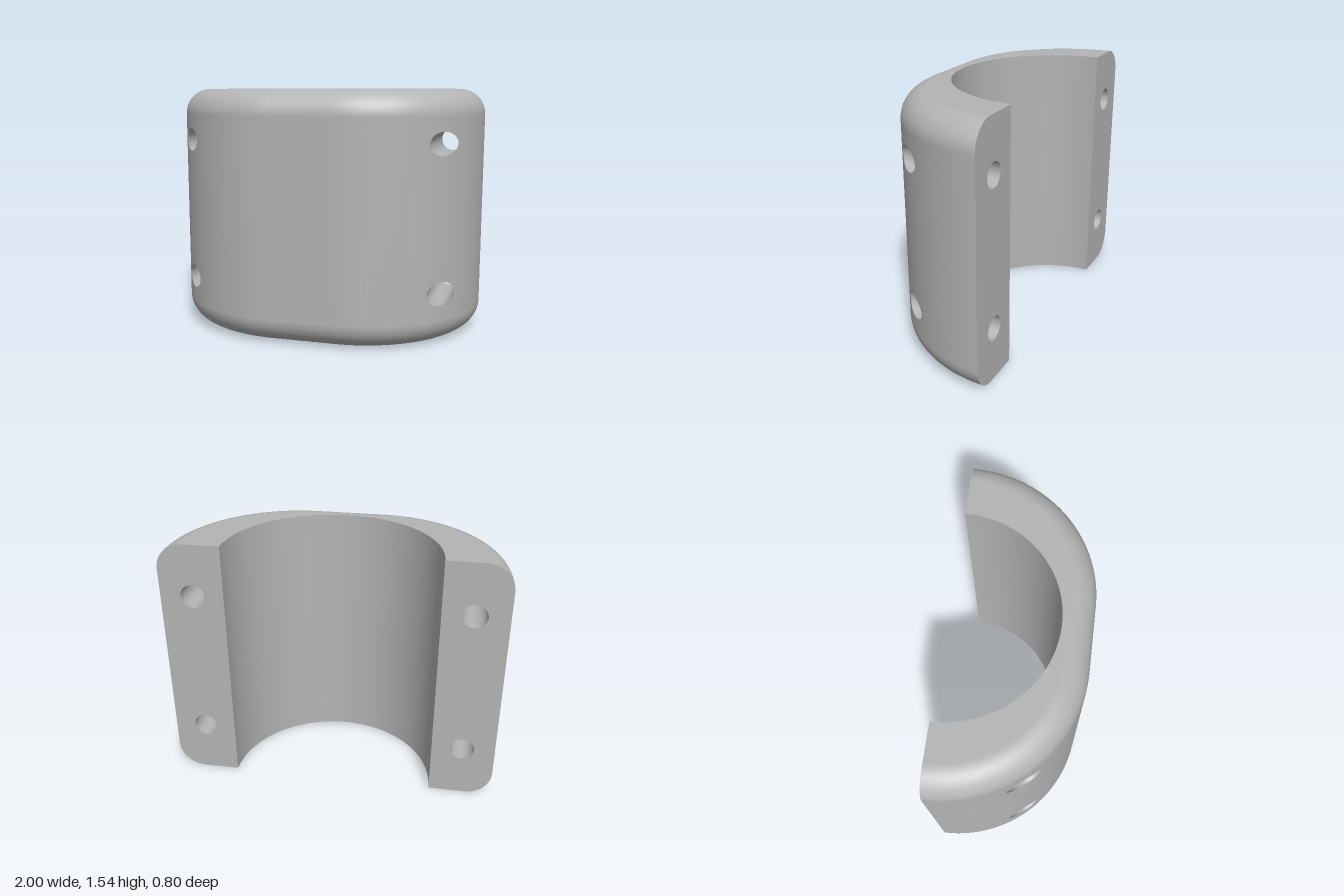
import * as THREE from 'three';
import { mergeGeometries } from 'three/addons/utils/BufferGeometryUtils.js';

const H = 1.545, BACK = -0.4;        // height, z of the mating faces
const R = 0.8, FLAT = 0.2;           // outer corner radius, half width of the flat front
const BORE = 0.62, FILLET = 0.16;
const HX = 0.805, HR = 0.072, HOLES = [0.325, 1.225]; // bolt holes
const rad = THREE.MathUtils.degToRad;
const mix = THREE.MathUtils.lerp;

// Grid surface from fn(u, v) -> [x, y, z]
function sheet(nu, nv, fn, flip = false) {
  const pos = [], index = [];
  for (let i = 0; i <= nu; i++) for (let j = 0; j <= nv; j++) pos.push(...fn(i / nu, j / nv));
  for (let i = 0; i < nu; i++) for (let j = 0; j < nv; j++) {
    const a = i * (nv + 1) + j, b = a + nv + 1;
    if (flip) index.push(a, a + 1, b, b, a + 1, b + 1);
    else index.push(a, b, a + 1, b, b + 1, a + 1);
  }
  const g = new THREE.BufferGeometry();
  g.setAttribute('position', new THREE.Float32BufferAttribute(pos, 3));
  g.setIndex(index);
  g.computeVertexNormals();
  return g;
}

// Point on the outer profile, moved inwards by d
const outer = (s, a, y, d = 0) =>
  [s * (FLAT + (R - d) * Math.cos(a)), y, BACK + (R - d) * Math.sin(a)];

// Exact normals of the rounded skin
function roundNormals(g) {
  const p = g.attributes.position, n = g.attributes.normal, v = new THREE.Vector3();
  for (let i = 0; i < p.count; i++) {
    const x = p.getX(i), y = p.getY(i), w = p.getZ(i) - BACK;
    const dx = x - THREE.MathUtils.clamp(x, -FLAT, FLAT);
    const k = 1 - (R - FILLET) / Math.hypot(dx, w);
    v.set(dx * k, y - THREE.MathUtils.clamp(y, FILLET, H - FILLET), w * k);
    if (v.length() > 1e-4) { v.normalize(); n.setXYZ(i, v.x, v.y, v.z); }
  }
  return g;
}

// Wall patch with a round hole: rings from the hole rim out to a rectangle
function holePatch(s, cy, a0, a1, y0, y1) {
  const n = 12;
  const corners = [[a0, y0], [a1, y0], [a1, y1], [a0, y1], [a0, y0]];
  const midA = Math.acos((HX - FLAT) / R);
  return sheet(n * 4, 6, (u, v) => {
    const k = Math.min(3, Math.floor(u * 4 + 1e-9)), f = u * 4 - k;
    const ea = mix(corners[k][0], corners[k + 1][0], f);
    const ey = mix(corners[k][1], corners[k + 1][1], f);
    const t = Math.atan2(ey - cy, (midA - ea) * R);
    const ra = Math.acos((HX + HR * Math.cos(t) - FLAT) / R);
    return outer(s, mix(ra, ea, v), mix(cy + HR * Math.sin(t), ey, v));
  }, s < 0);
}

function outerSkin() {
  const parts = [], A0 = rad(26), A1 = rad(54), M = 0.13;
  const fillet = (v, top) => {
    const p = v * Math.PI / 2, y = FILLET * (1 - Math.cos(p));
    return [top ? H - y : y, FILLET * (1 - Math.sin(p))];
  };
  for (const s of [1, -1]) {
    const wall = (a0, a1, y0, y1) => parts.push(
      sheet(12, 1, (u, v) => outer(s, mix(a0, a1, u), mix(y0, y1, v)), s > 0));
    wall(0, A0, FILLET, H - FILLET);
    wall(A1, Math.PI / 2, FILLET, H - FILLET);
    wall(A0, A1, FILLET, HOLES[0] - M);
    wall(A0, A1, HOLES[0] + M, HOLES[1] - M);
    wall(A0, A1, HOLES[1] + M, H - FILLET);
    for (const cy of HOLES) parts.push(holePatch(s, cy, A0, A1, cy - M, cy + M));
    for (const [a0, a1] of [[0, A0], [A0, A1], [A1, Math.PI / 2]]) {
      for (const top of [false, true]) parts.push(sheet(12, 12, (u, v) => {
        const [y, d] = fillet(v, top);
        return outer(s, mix(a0, a1, u), y, d);
      }, (s > 0) !== top));
    }
  }
  // flat front strip and its rounded edges
  parts.push(sheet(1, 1, (u, v) => [mix(-FLAT, FLAT, u), mix(FILLET, H - FILLET, v), BACK + R]));
  for (const top of [false, true]) parts.push(sheet(1, 12, (u, v) => {
    const [y, d] = fillet(v, top);
    return [mix(-FLAT, FLAT, u), y, BACK + R - d];
  }, top));
  return roundNormals(mergeGeometries(parts));
}

// Flat C-shaped end face; k mirrors the outline
function endShape(k) {
  const r = R - FILLET, n = 36, pts = [];
  for (const s of [1, -1]) for (let i = 0; i <= n; i++) {
    const a = (s > 0 ? i : n - i) / n * Math.PI / 2;
    pts.push(new THREE.Vector2(s * (FLAT + r * Math.cos(a)), k * r * Math.sin(a)));
  }
  for (let i = 0; i <= 72; i++) {
    const a = Math.PI * (1 - i / 72);
    pts.push(new THREE.Vector2(BORE * Math.cos(a), k * BORE * Math.sin(a)));
  }
  return new THREE.Shape(pts);
}

// Mating face with two rounded corners and two holes
function matingFace(s) {
  const e = FLAT + R, c = e - FILLET, shape = new THREE.Shape();
  shape.moveTo(s * BORE, 0).lineTo(s * c, 0);
  for (const top of [false, true]) for (let i = 0; i <= 12; i++) {
    const a = (top ? 12 - i : i) / 12 * Math.PI / 2, y = FILLET * (1 - Math.cos(a));
    shape.lineTo(s * (c + FILLET * Math.sin(a)), top ? H - y : y);
  }
  shape.lineTo(s * BORE, H);
  for (const cy of HOLES) {
    shape.holes.push(new THREE.Path().absarc(s * HX, cy, HR, 0, Math.PI * 2));
  }
  return new THREE.ShapeGeometry(shape, 24).rotateY(Math.PI).translate(0, 0, BACK);
}

// Inside wall of a bolt hole, from the mating face to the curved skin
const holeWall = (s, cy) => sheet(48, 1, (u, v) => {
  const t = u * Math.PI * 2, x = HX + HR * Math.cos(t);
  const z = BACK + Math.sqrt(R * R - (x - FLAT) ** 2);
  return [s * x, cy + HR * Math.sin(t), mix(BACK, z, v)];
}, s > 0);

export function createModel() {
  const group = new THREE.Group();
  group.name = 'halfClamp';
  const metal = new THREE.MeshStandardMaterial({ color: 0xb4b4b4 });
  metal.name = 'plain grey';
  const add = (name, g) => {
    const m = new THREE.Mesh(g, metal);
    m.name = name;
    group.add(m);
  };

  add('outerSkin', outerSkin());
  add('topFace', new THREE.ShapeGeometry(endShape(-1)).rotateX(-Math.PI / 2).translate(0, H, BACK));
  add('bottomFace', new THREE.ShapeGeometry(endShape(1)).rotateX(Math.PI / 2).translate(0, 0, BACK));
  add('bore', sheet(72, 1, (u, v) =>
    [BORE * Math.cos(u * Math.PI), v * H, BACK + BORE * Math.sin(u * Math.PI)]));
  for (const s of [1, -1]) {
    const side = s > 0 ? 'left' : 'right';
    add(side + 'MatingFace', matingFace(s));
    HOLES.forEach((cy, i) => add(side + (i ? 'Upper' : 'Lower') + 'BoltHole', holeWall(s, cy)));
  }
  return group;
}
